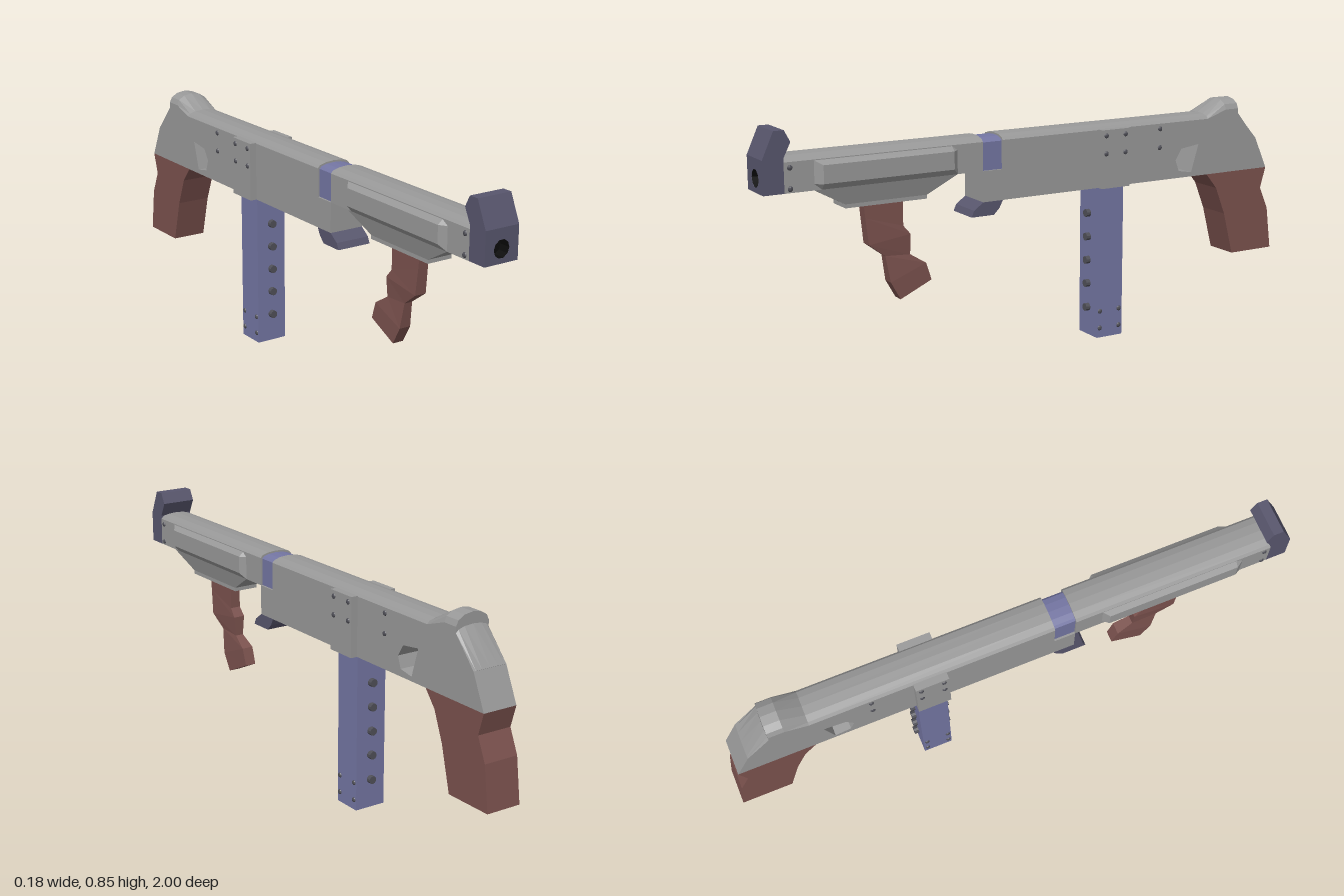
import * as THREE from 'three';

const mat = (color, side = THREE.FrontSide) =>
  new THREE.MeshStandardMaterial({ color, flatShading: true, side });
const GREY = mat(0x999999), BLUE = mat(0x7476a3), SLATE = mat(0x58566d);
const WOOD = mat(0x7b524e), RIVET = mat(0x505058), DARK = mat(0x0c0c0c, THREE.DoubleSide);
const W = 0.063; // half width of the main body

const toShape = (pts) => new THREE.Shape(pts.map(([a, b]) => new THREE.Vector2(a, b)));

// Side outline of [z, y] points, extruded symmetrically across x
function sideExtrude(pts, halfWidth, hole) {
  const shape = toShape(pts);
  if (hole) shape.holes.push(toShape(hole));
  const g = new THREE.ExtrudeGeometry(shape, { depth: 2 * halfWidth, bevelEnabled: false });
  return g.translate(0, 0, -halfWidth).rotateY(-Math.PI / 2);
}

// Closed skin over equal-sized rings of [x, y, z] points
function loft(rings) {
  const n = rings[0].length, tris = [];
  for (let i = 0; i < rings.length - 1; i++) {
    for (let j = 0; j < n; j++) {
      const k = (j + 1) % n;
      const a = rings[i][j], b = rings[i][k], c = rings[i + 1][k], d = rings[i + 1][j];
      tris.push([a, b, c], [a, c, d]);
    }
  }
  const first = rings[0], last = rings[rings.length - 1];
  for (let j = 1; j < n - 1; j++) {
    tris.push([first[0], first[j + 1], first[j]], [last[0], last[j], last[j + 1]]);
  }
  // Turn the skin outward if its signed volume is negative
  let volume = 0;
  const v = (p) => new THREE.Vector3(...p);
  for (const [a, b, c] of tris) volume += v(a).dot(v(b).cross(v(c)));
  if (volume < 0) tris.forEach((t) => t.reverse());
  const g = new THREE.BufferGeometry();
  g.setAttribute('position', new THREE.Float32BufferAttribute(tris.flat(2), 3));
  g.computeVertexNormals();
  return g;
}

// Rounded cap: rows of [edge z, edge y, crown z, crown y]
function crown(rows, halfWidth) {
  const steps = 6;
  return loft(rows.map(([ez, ey, cz, cy]) => Array.from({ length: steps + 1 }, (_, i) => {
    const a = (i / steps) * Math.PI, s = Math.sin(a);
    return [halfWidth * Math.cos(a), ey + (cy - ey) * s, ez + (cz - ez) * s];
  })));
}

const rect = (y, z0, z1, w) => [[-w, y, z0], [w, y, z0], [w, y, z1], [-w, y, z1]];

export function createModel() {
  const model = new THREE.Group();
  const add = (name, geometry, material) => {
    const mesh = new THREE.Mesh(geometry, material);
    mesh.name = name;
    model.add(mesh);
  };
  const box = (name, material, halfWidth, y0, y1, z0, z1) =>
    add(name, new THREE.BoxGeometry(2 * halfWidth, y1 - y0, Math.abs(z1 - z0))
      .translate(0, (y0 + y1) / 2, (z0 + z1) / 2), material);

  // Receiver and stock with a cut-out behind the magazine
  add('receiver', sideExtrude([
    [0.23, 0.545], [0.23, 0.65], [0.155, 0.65], [0.155, 0.748], [-0.695, 0.748], [-0.775, 0.775],
    [-0.83, 0.775], [-0.83, 0.755], [-0.915, 0.66], [-0.967, 0.545],
  ], W, [[-0.555, 0.61], [-0.58, 0.65], [-0.655, 0.66], [-0.625, 0.56], [-0.57, 0.57]]), GREY);
  add('receiverTop', crown([
    [0.155, 0.748, 0.155, 0.766], [-0.695, 0.748, -0.695, 0.766],
    [-0.775, 0.775, -0.775, 0.812], [-0.83, 0.775, -0.83, 0.812],
  ], W), GREY);
  add('stockBack', crown([[-0.83, 0.755, -0.832, 0.775], [-0.915, 0.66, -0.916, 0.661]], W), GREY);

  // Coloured collar between receiver and shroud
  box('collar', BLUE, 0.056, 0.65, 0.745, 0.155, 0.23);
  add('collarTop', crown([[0.155, 0.745, 0.155, 0.76], [0.23, 0.745, 0.23, 0.76]], 0.056), BLUE);

  // Barrel shroud with bulging side panels
  box('shroud', GREY, W, 0.65, 0.748, 0.23, 0.93);
  add('shroudTop', crown([[0.23, 0.748, 0.23, 0.766], [0.93, 0.748, 0.93, 0.766]], W), GREY);
  add('shroudPanels', loft([[0.83, W], [0.805, 0.08], [0.345, 0.08], [0.325, W]].map(([z, w]) => [
    [W, 0.745, z], [w, 0.73, z], [w, 0.67, z], [W, 0.65, z],
    [-W, 0.65, z], [-w, 0.67, z], [-w, 0.73, z], [-W, 0.745, z],
  ])), GREY);
  add('foregripMount', loft([rect(0.65, 0.325, 0.83, W), rect(0.59, 0.43, 0.72, 0.046)]), GREY);
  box('foregripPlate', GREY, 0.046, 0.577, 0.59, 0.43, 0.72);

  // Muzzle block with a recessed bore and a sight post above
  const face = toShape([[-W, 0.65], [W, 0.65], [W, 0.76], [-W, 0.76]]);
  const bore = new THREE.Path();
  bore.absarc(0, 0.695, 0.03, 0, Math.PI * 2, true);
  face.holes.push(bore);
  add('muzzle', new THREE.ExtrudeGeometry(face, { depth: 0.07, bevelEnabled: false, curveSegments: 5 })
    .translate(0, 0, 0.93), SLATE);
  add('bore', new THREE.CylinderGeometry(0.0298, 0.0298, 0.06, 10, 1, true)
    .rotateY(Math.PI / 2).rotateX(Math.PI / 2).translate(0, 0.695, 0.969), DARK);
  add('boreEnd', new THREE.CircleGeometry(0.031, 10).translate(0, 0.695, 0.96), DARK);
  add('sight', sideExtrude([
    [1, 0.76], [0.96, 0.848], [0.925, 0.848], [0.905, 0.81], [0.93, 0.76],
  ], W), SLATE);

  // Lug below the receiver's front end
  add('frontLug', sideExtrude([
    [0.275, 0.498], [0.265, 0.52], [0.23, 0.545], [0.155, 0.545], [0.168, 0.52], [0.19, 0.498],
  ], W), SLATE);

  // Grips
  add('rearGrip', sideExtrude([
    [-0.695, 0.545], [-0.74, 0.49], [-0.78, 0.39], [-0.82, 0.237], [-1, 0.237],
    [-0.98, 0.39], [-0.945, 0.47], [-0.967, 0.545],
  ], W), WOOD);
  // Rows: front z, front y, back z, back y, half width
  add('frontGrip', loft([
    [0.645, 0.58, 0.505, 0.58, 0.019], [0.64, 0.53, 0.505, 0.49, 0.019],
    [0.63, 0.44, 0.48, 0.46, 0.021], [0.57, 0.395, 0.48, 0.39, 0.015],
    [0.555, 0.305, 0.425, 0.355, 0.021], [0.52, 0.243, 0.405, 0.295, 0.02],
  ].map(([fz, fy, bz, by, w]) => [[-w, fy, fz], [w, fy, fz], [w, by, bz], [-w, by, bz]])), WOOD);

  // Magazine and its housing
  box('magazineHousing', GREY, 0.087, 0.545, 0.75, -0.34, -0.225);
  box('magazine', BLUE, 0.057, 0, 0.55, -0.335, -0.23);
  for (const y of [0.445, 0.36, 0.275, 0.19, 0.102]) {
    for (const z of [-0.224, -0.341]) {
      add('magazineStud', new THREE.CylinderGeometry(0.014, 0.014, 0.02, 10)
        .rotateX(Math.PI / 2).translate(0, y, z), RIVET);
    }
  }

  // Side rivets, mirrored: [surface x, z values, y values]
  const rivetSets = [
    [W, [0.91], [0.73, 0.663]],
    [W, [-0.485], [0.73, 0.663]],
    [0.087, [-0.243, -0.322], [0.73, 0.667]],
    [0.057, [-0.242, -0.322], [0.097, 0.035]],
  ];
  for (const [x, zs, ys] of rivetSets) {
    for (const z of zs) for (const y of ys) for (const side of [-1, 1]) {
      add('rivet', new THREE.SphereGeometry(0.009, 8, 6)
        .scale(0.6, 1, 1).translate(side * x, y, z), RIVET);
    }
  }
  return model;
}
